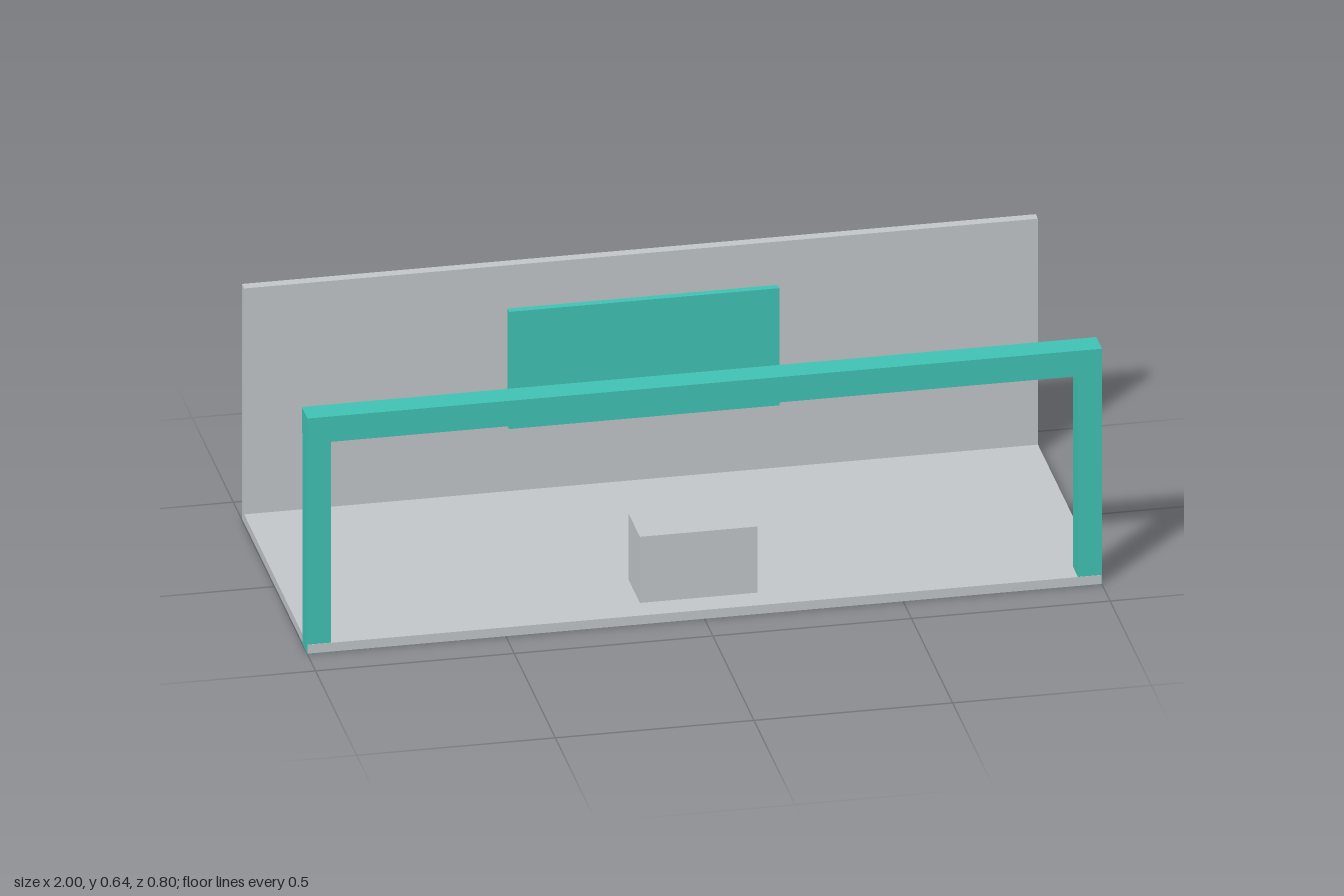
import * as THREE from 'three';

export function createModel() {
  const model = new THREE.Group();
  const material = (name, color) => {
    const m = new THREE.MeshStandardMaterial({ color });
    m.name = name;
    return m;
  };
  const grey = material('light grey', 0xc2c6c9);
  const teal = material('teal', 0x40c2b3);
  const slate = material('dark slate', 0x4a6078);

  // Box given by its extents along x, y and z
  const addBox = (name, mat, [x0, x1], [y0, y1], [z0, z1]) => {
    const mesh = new THREE.Mesh(new THREE.BoxGeometry(x1 - x0, y1 - y0, z1 - z0), mat);
    mesh.position.set((x0 + x1) / 2, (y0 + y1) / 2, (z0 + z1) / 2);
    mesh.name = name;
    model.add(mesh);
  };

  // Floor slab and rear wall
  addBox('floor', grey, [-0.999, 0.999], [0.001, 0.025], [-0.373, 0.4]);
  addBox('backWall', grey, [-0.999, 0.999], [0.001, 0.64], [-0.4, -0.373]);

  // Front portal: two posts and a slightly thicker beam
  addBox('leftPost', teal, [0.94, 1], [0, 0.575], [0.339, 0.399]);
  addBox('rightPost', teal, [-1, -0.94], [0, 0.575], [0.339, 0.399]);
  addBox('topBeam', teal, [-1, 1], [0.573, 0.642], [0.333, 0.402]);

  // Low block on the floor
  addBox('block', grey, [-0.148, 0.148], [0.025, 0.205], [0.19, 0.328]);

  // Panel held just in front of the wall, with its smaller backing plate
  addBox('panel', teal, [-0.34, 0.34], [0.212, 0.531], [-0.355, -0.335]);
  addBox('panelBacking', slate, [-0.33, 0.33], [0.228, 0.514], [-0.365, -0.355]);

  return model;
}
